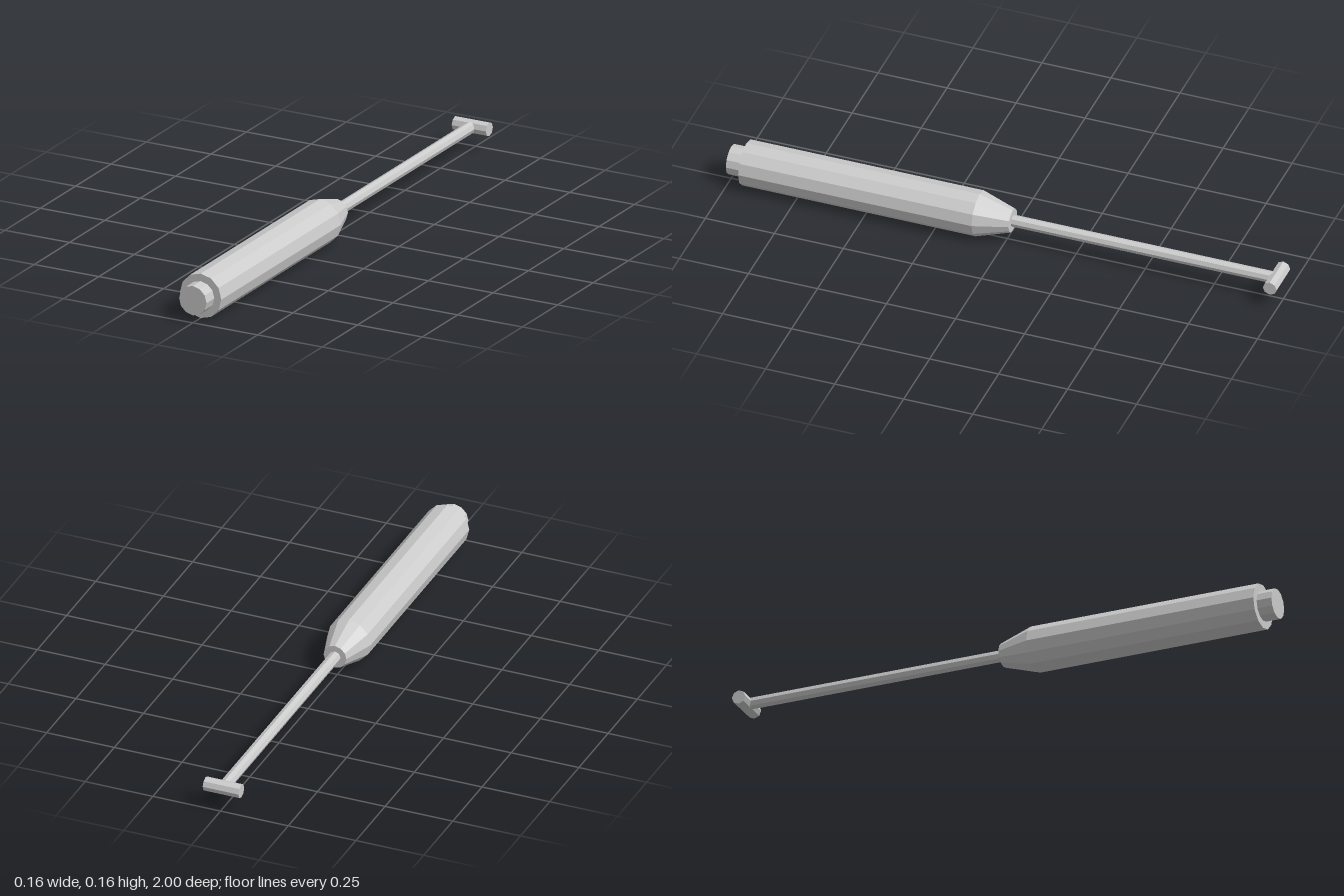
import * as THREE from 'three';

const AXIS_Y = 0.08; // height of the tool's long axis

export function createModel() {
  const group = new THREE.Group();
  const material = new THREE.MeshStandardMaterial({ color: 0xcccccc, flatShading: true });

  const add = (name, geometry) => {
    const mesh = new THREE.Mesh(geometry.translate(0, AXIS_Y, 0), material);
    mesh.name = name;
    group.add(mesh);
  };

  // Cylinder along z, from zBack to zFront
  const alongZ = (rBack, rFront, zBack, zFront, sides, open = false) =>
    new THREE.CylinderGeometry(rFront, rBack, zFront - zBack, sides, 1, open)
      .rotateX(Math.PI / 2)
      .translate(0, 0, (zBack + zFront) / 2);

  // Handle with tapered neck, as one closed twelve-sided profile
  const profile = [[0, -0.02], [0.042, -0.02], [0.08, 0.1], [0.08, 0.945], [0, 0.945]]
    .map(([r, z]) => new THREE.Vector2(r, z));
  add('handle', new THREE.LatheGeometry(profile, 12).rotateX(Math.PI / 2));

  // End cap at the front of the handle
  add('endCap', alongZ(0.053, 0.053, 0.945, 1, 12));

  // Thin shaft running back to the crossbar
  add('shaft', alongZ(0.021, 0.021, -0.975, -0.02, 8));

  // Short crossbar at the tip
  add('crossbar', new THREE.CylinderGeometry(0.025, 0.025, 0.132, 8)
    .rotateZ(Math.PI / 2)
    .translate(0, 0, -0.975));

  return group;
}
